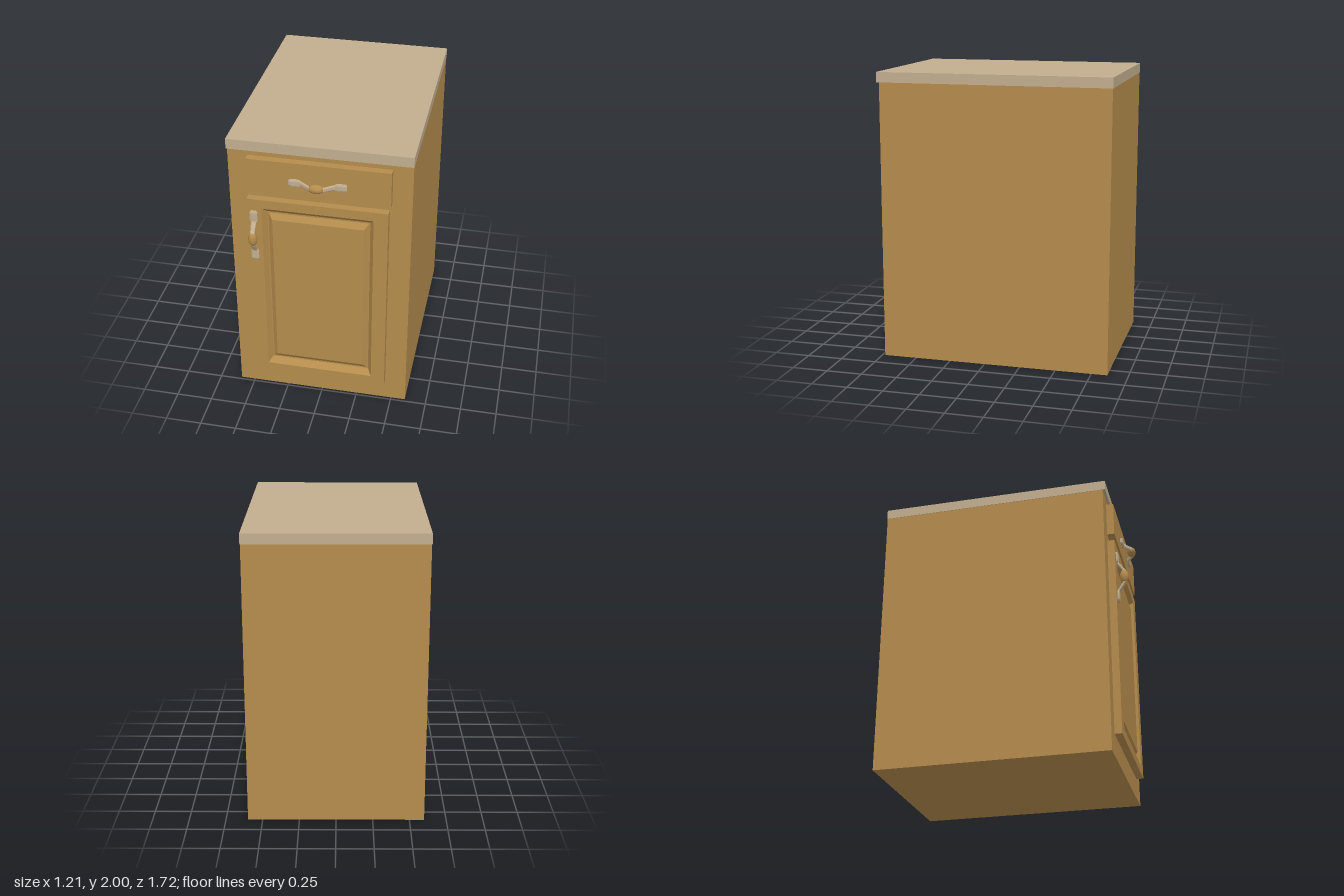
import * as THREE from 'three';

const wood = new THREE.MeshStandardMaterial({ color: 0xb58c4d });
wood.name = 'wood';
const pale = new THREE.MeshStandardMaterial({ color: 0xc2ae8f });
pale.name = 'pale stone and metal';

function add(parent, name, geometry, material) {
  const mesh = new THREE.Mesh(geometry, material);
  mesh.name = name;
  parent.add(mesh);
  return mesh;
}

function box(parent, name, material, [x0, x1], [y0, y1], [z0, z1]) {
  const mesh = add(parent, name, new THREE.BoxGeometry(x1 - x0, y1 - y0, z1 - z0), material);
  mesh.position.set((x0 + x1) / 2, (y0 + y1) / 2, (z0 + z1) / 2);
  return mesh;
}

// Skins a row of cross-sections and caps both ends, with flat normals
function loft(rings) {
  const pos = [];
  const tri = (a, b, c) => pos.push(...a, ...b, ...c);
  const n = rings[0].length;
  for (let k = 0; k < rings.length - 1; k++) {
    const a = rings[k], b = rings[k + 1];
    for (let i = 0; i < n; i++) {
      const j = (i + 1) % n;
      tri(a[i], a[j], b[j]);
      tri(a[i], b[j], b[i]);
    }
  }
  const first = rings[0], last = rings[rings.length - 1];
  for (let i = 1; i < n - 1; i++) {
    tri(first[0], first[i + 1], first[i]);
    tri(last[0], last[i], last[i + 1]);
  }
  const geometry = new THREE.BufferGeometry();
  geometry.setAttribute('position', new THREE.Float32BufferAttribute(pos, 3));
  geometry.computeVertexNormals();
  return geometry;
}

const rectRing = (x0, x1, y0, y1, z) => [[x0, y0, z], [x1, y0, z], [x1, y1, z], [x0, y1, z]];

// Eight-sided section of a handle arm: t along the handle, z outwards
function armRing([t, z, halfWidth, halfDepth]) {
  const c = 0.55;
  return [[1, -c], [1, c], [c, 1], [-c, 1], [-1, c], [-1, -c], [-c, -1], [c, -1]]
    .map(([y, d]) => [t, y * halfWidth, z + d * halfDepth]);
}

// Pull handle lying along x, with its mounting face at z = 0
function createHandle(name) {
  const handle = new THREE.Group();
  handle.name = name;
  const sections = [
    [0.034, 0.053, 0.016, 0.014],
    [0.050, 0.053, 0.016, 0.013],
    [0.062, 0.043, 0.015, 0.011],
    [0.108, 0.012, 0.017, 0.010],
    [0.118, 0.009, 0.025, 0.009],
    [0.135, 0.009, 0.027, 0.010],
    [0.178, 0.009, 0.026, 0.010],
    [0.190, 0.007, 0.019, 0.007],
  ];
  const armGeometry = loft(sections.map(armRing));
  for (const side of [0, 1]) {
    add(handle, 'handleArm', armGeometry, pale).rotation.z = side * Math.PI;
  }
  // Turned wooden grip
  const profile = [[0, -0.046], [0.016, -0.046], [0.024, -0.032], [0.030, -0.012],
    [0.030, 0.012], [0.024, 0.032], [0.016, 0.046], [0, 0.046]]
    .map(([r, y]) => new THREE.Vector2(r, y));
  const grip = add(handle, 'handleGrip', new THREE.LatheGeometry(profile, 16), wood);
  grip.rotation.z = Math.PI / 2;
  grip.position.z = 0.053;
  return handle;
}

export function createModel() {
  const cabinet = new THREE.Group();
  cabinet.name = 'cabinet';

  box(cabinet, 'carcass', wood, [-0.6, 0.6], [0, 1.93], [-0.86, 0.73]);
  box(cabinet, 'countertop', pale, [-0.603, 0.603], [1.93, 2], [-0.862, 0.748]);
  box(cabinet, 'drawerFront', wood, [-0.467, 0.47], [1.645, 1.89], [0.72, 0.78]);

  // Door frame, sloping into a groove and out again to the raised panel
  const door = loft([
    rectRing(-0.475, 0.455, 0.155, 1.59, 0.725),
    rectRing(-0.475, 0.455, 0.155, 1.59, 0.78),
    rectRing(-0.377, 0.36, 0.22, 1.525, 0.78),
    rectRing(-0.35, 0.333, 0.258, 1.487, 0.742),
    rectRing(-0.342, 0.325, 0.268, 1.477, 0.742),
    rectRing(-0.312, 0.297, 0.305, 1.438, 0.768),
  ]);
  add(cabinet, 'door', door, wood);

  const drawerHandle = createHandle('drawerHandle');
  drawerHandle.position.set(0, 1.752, 0.779);
  const doorHandle = createHandle('doorHandle');
  doorHandle.position.set(-0.43, 1.315, 0.779);
  doorHandle.rotation.z = Math.PI / 2;
  cabinet.add(drawerHandle, doorHandle);

  return cabinet;
}
